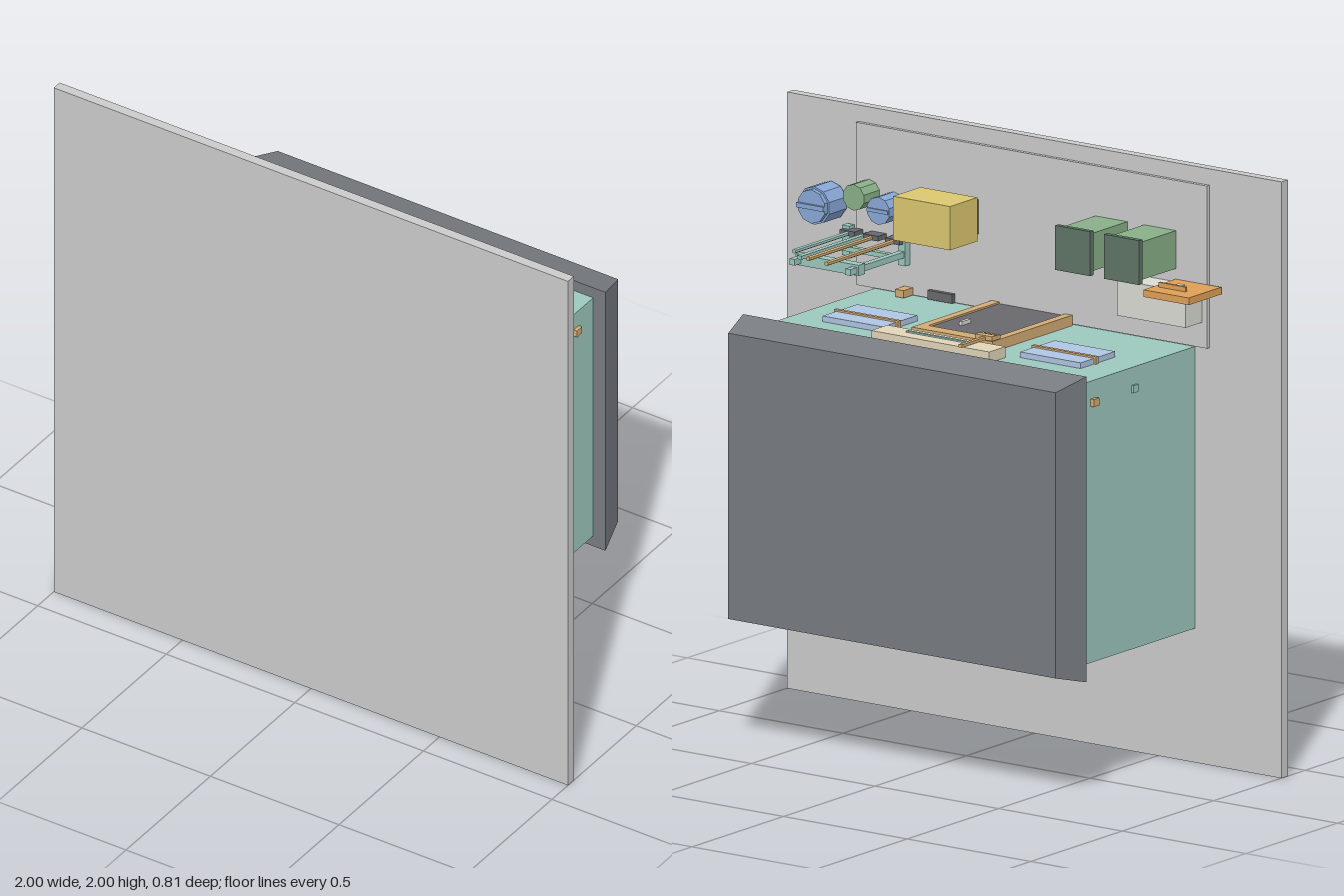
import * as THREE from 'three';

const colors = {
  grey: 0xcccccc, teal: 0x9cc8be, roof: 0x787c82, tan: 0xd2ac74, green: 0x88b088, darkGreen: 0x5f7466,
  yellow: 0xdcc870, blue: 0x88a8d8, glass: 0xb0c6e4, orange: 0xe0a058, dark: 0x68686e, cream: 0xe2d6ba, white: 0xdcdcd6,
};
const mats = {};
for (const k in colors) mats[k] = new THREE.MeshStandardMaterial({ color: colors[k], flatShading: true });

export function createModel() {
  const root = new THREE.Group();
  root.name = 'stationDiorama';
  // Upright yard (y = height, z = forward), laid on its back against the plate
  const yard = new THREE.Group();
  yard.name = 'yard';
  yard.rotation.x = -Math.PI / 2;
  yard.position.z = 0.37;
  root.add(yard);

  const add = (name, color, geo) => {
    const m = new THREE.Mesh(geo, mats[color]);
    m.name = name;
    yard.add(m);
    return m;
  };
  // Box from its ranges: x, height, forward
  const box = (name, color, x0, x1, h0, h1, z0, z1) => {
    const m = add(name, color, new THREE.BoxGeometry(x1 - x0, h1 - h0, z1 - z0));
    m.position.set((x0 + x1) / 2, (h0 + h1) / 2, (z0 + z1) / 2);
    return m;
  };
  const drum = (name, color, x, z, r, h0, h1, sides = 10) => {
    const m = add(name, color, new THREE.CylinderGeometry(r, r, h1 - h0, sides));
    m.position.set(x, (h0 + h1) / 2, z);
    return m;
  };

  // Ground and pavement
  box('groundPlate', 'grey', -1, 1, -0.035, 0, 0, 2);
  box('pavement', 'grey', -0.71, 0.71, 0, 0.014, 1.4, 1.945);

  // House walls
  box('walls', 'teal', -0.65, 0.645, 0, 0.655, 0.45, 1.395);

  // Roof: box with its top drawn in
  const roofGeo = new THREE.BoxGeometry(1.39, 0.125, 1.025);
  const p = roofGeo.attributes.position;
  for (let i = 0; i < p.count; i++) {
    if (p.getY(i) > 0) p.setXYZ(i, p.getX(i) * 0.953, p.getY(i), p.getZ(i) * 0.935);
  }
  add('roof', 'roof', roofGeo).position.set(-0.002, 0.7175, 0.922);

  // Wall fittings on both sides
  for (const s of [-1, 1]) {
    const x = s > 0 ? 0.645 : -0.65;
    box('wallLamp', 'tan', x - 0.013, x + 0.013, 0.54, 0.57, 1.31, 1.335);
    box('wallVent', 'teal', x - 0.008, x + 0.008, 0.32, 0.345, 1.31, 1.335);
  }
  box('sidePanel', 'teal', 0.64, 0.664, 0.03, 0.4, 0.61, 0.8);

  // Door and frame
  for (const [a, b] of [[-0.165, -0.135], [0.13, 0.162]]) box('doorJamb', 'tan', a, b, 0.014, 0.45, 1.39, 1.43);
  box('doorLintel', 'tan', -0.165, 0.162, 0.402, 0.452, 1.39, 1.43);
  box('door', 'dark', -0.135, 0.13, 0.014, 0.402, 1.39, 1.424);
  box('doorHandle', 'white', 0.055, 0.068, 0.27, 0.32, 1.42, 1.437);

  // Windows with a middle bar
  for (const x of [-0.402, 0.398]) {
    box('windowPane', 'glass', x - 0.122, x + 0.122, 0.265, 0.455, 1.39, 1.414);
    box('windowBar', 'tan', x - 0.13, x + 0.13, 0.367, 0.381, 1.39, 1.42);
  }

  // Sign board
  box('signBoard', 'cream', -0.242, 0.236, 0.483, 0.573, 1.393, 1.432);
  box('signStripe', 'teal', -0.13, 0.13, 0.512, 0.524, 1.43, 1.437);
  box('signShelf', 'dark', -0.1, 0.09, 0.47, 0.476, 1.393, 1.425);

  // Rake hung over the door
  box('rakeHandle', 'tan', -0.15, -0.136, 0.47, 0.597, 1.437, 1.447);
  box('rakeHead', 'tan', -0.178, -0.108, 0.445, 0.47, 1.437, 1.452);
  for (let i = 0; i < 4; i++) {
    const x = -0.178 + i * 0.0195;
    box('rakeTooth', 'tan', x, x + 0.01, 0.425, 0.447, 1.437, 1.45);
  }

  // Notice cabinet with its pale back chest
  box('chest', 'white', -0.69, -0.412, 0.014, 0.105, 1.485, 1.605);
  box('cabinetFront', 'orange', -0.766, -0.582, 0.012, 0.19, 1.59, 1.614);
  box('cabinetHandle', 'orange', -0.71, -0.6, 0.123, 0.132, 1.61, 1.63);
  box('cabinetLock', 'cream', -0.67, -0.643, 0.08, 0.102, 1.61, 1.622);

  // Lidded bins
  for (const x of [-0.52, -0.322]) {
    box('bin', 'green', x - 0.065, x + 0.065, 0.014, 0.208, 1.65, 1.777);
    box('binLid', 'darkGreen', x - 0.071, x + 0.071, 0.206, 0.225, 1.638, 1.787);
  }

  // Yellow crate on feet
  box('crate', 'yellow', 0.2, 0.43, 0.04, 0.19, 1.628, 1.775);
  for (const x of [0.235, 0.325, 0.395]) box('crateFoot', 'dark', x - 0.02, x + 0.02, 0.014, 0.042, 1.645, 1.76);

  // Barrels
  drum('largeBarrel', 'blue', 0.813, 1.668, 0.064, 0.01, 0.104);
  drum('largeBarrelRim', 'blue', 0.813, 1.668, 0.057, 0.104, 0.12);
  box('barrelHandle', 'blue', 0.758, 0.868, 0.118, 0.13, 1.66, 1.676);
  drum('greenBarrel', 'green', 0.657, 1.718, 0.044, 0.014, 0.1);
  drum('smallBarrel', 'blue', 0.557, 1.688, 0.047, 0.014, 0.1);
  box('smallBarrelHandle', 'blue', 0.515, 0.6, 0.1, 0.106, 1.682, 1.694);

  // Tool rack: posts, feet and rails
  for (const x of [0.507, 0.733]) {
    box('rackPost', 'teal', x - 0.011, x + 0.011, 0.014, 0.333, 1.527, 1.548);
    box('rackFoot', 'teal', x - 0.015, x + 0.015, 0.012, 0.04, 1.5, 1.6);
  }
  box('rackRail', 'teal', 0.49, 0.745, 0.263, 0.298, 1.52, 1.556);
  box('rackLowerRail', 'teal', 0.507, 0.733, 0.07, 0.09, 1.53, 1.546);

  // Tools leaning on the rack
  const tools = [[0.53, 0.42, 'tan'], [0.617, 0.403, 'tan'], [0.713, 0.35, 'teal']];
  for (const [x, top, color] of tools) {
    drum('toolHandle', color, x, 1.58, 0.008, 0.05, top, 6);
    box('toolBlade', 'dark', x - 0.03, x + 0.03, 0.014, 0.06, 1.573, 1.59);
  }
  box('backTool', 'teal', 0.645, 0.664, 0.014, 0.4, 1.572, 1.584);

  // Loose blocks by the wall
  box('tanBlock', 'tan', 0.48, 0.515, 0.012, 0.065, 1.4, 1.425);
  box('darkBlock', 'dark', 0.31, 0.41, 0.012, 0.03, 1.4, 1.43);

  return root;
}
